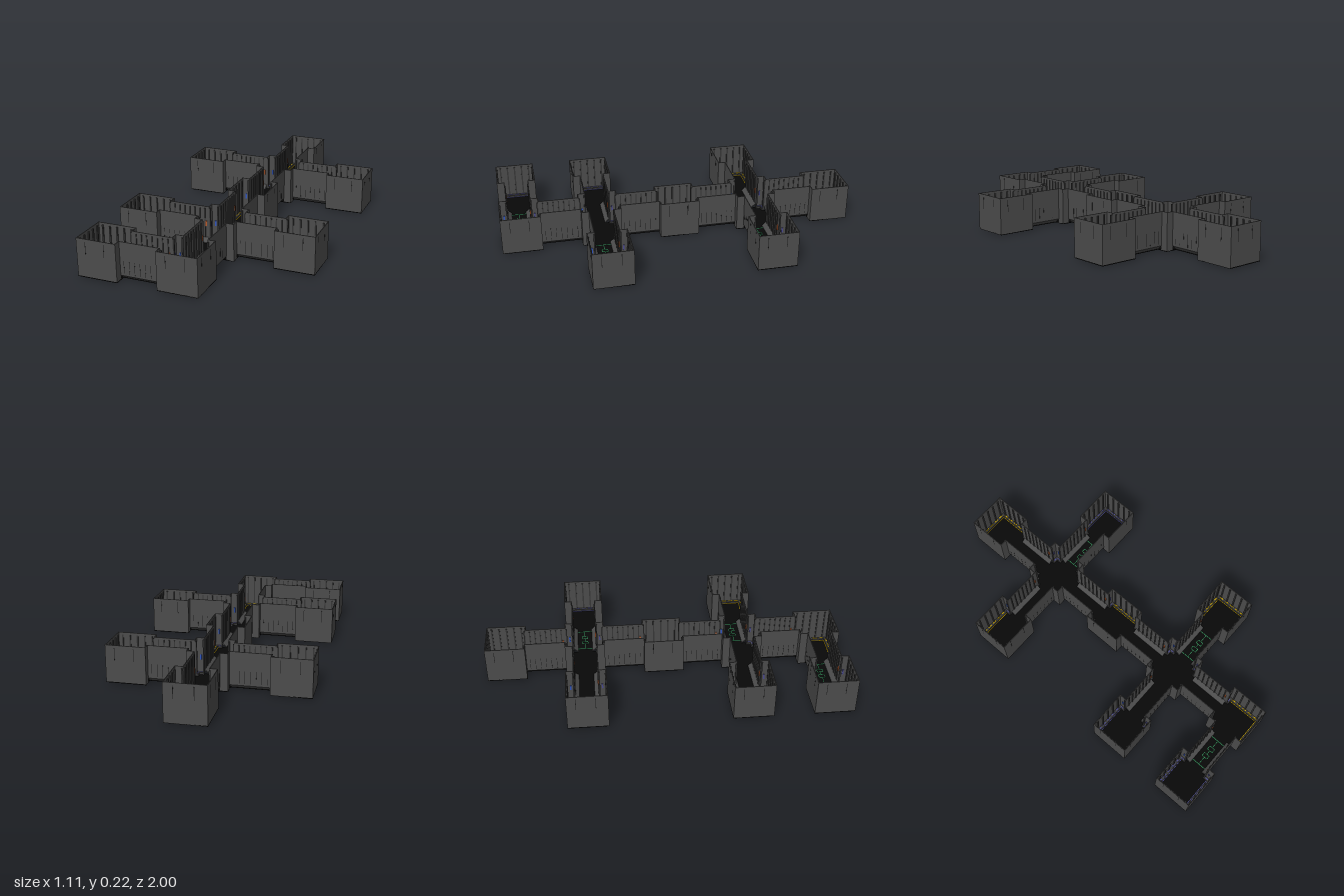
import * as THREE from 'three';

const PITCH = 0.444, HALF = 0.111, TOP = 0.215, THICK = 0.004, DOOR = 0.07;
const mat = (color) => new THREE.MeshStandardMaterial({ color });
const M = {
  wall: mat(0x4c4c4c), trim: mat(0x383838), dark: mat(0x1c1c1c), floor: mat(0x080808),
  green: mat(0x2f8a55), yellow: mat(0xc9a400), violet: mat(0x4a4a90),
  orange: mat(0xb5582a), blue: mat(0x2f55c0),
};

// Box given by its limits on each axis
function box(parent, name, material, x0, x1, y0, y1, z0, z1) {
  const mesh = new THREE.Mesh(new THREE.BoxGeometry(x1 - x0, y1 - y0, z1 - z0), material);
  mesh.position.set((x0 + x1) / 2, (y0 + y1) / 2, (z0 + z1) / 2);
  mesh.name = name;
  parent.add(mesh);
  return mesh;
}

function subgroup(parent, name, x, z, turn) {
  const g = new THREE.Group();
  g.name = name;
  g.position.set(x, 0, z);
  g.rotation.y = turn * Math.PI / 2;
  parent.add(g);
  return g;
}

// Closed wall on local +z, with skirting, ribs and a dashed floor strip
function closedWall(room, turn, accent) {
  const g = subgroup(room, 'closedWall', 0, 0, turn);
  const inner = HALF - THICK;
  box(g, 'wallPanel', M.wall, -HALF, HALF, 0.004, TOP, inner, HALF);
  box(g, 'skirting', M.trim, -inner, inner, 0.008, 0.02, HALF - 0.02, inner);
  for (let i = -2; i <= 2; i++) {
    box(g, 'wallRib', M.trim, i * 0.042 - 0.004, i * 0.042 + 0.004, 0.02, TOP - 0.012, inner - 0.006, inner);
    box(g, 'stripDash', accent, i * 0.038 - 0.012, i * 0.038 + 0.012, 0.02, 0.022, HALF - 0.013, HALF - 0.007);
  }
  box(g, 'stripLine', accent, -0.09, 0.09, 0.008, 0.01, HALF - 0.023, HALF - 0.02);
  for (const x of [-0.06, 0.045])
    box(g, 'outerSlot', M.dark, x - 0.0015, x + 0.0015, 0.13, 0.2, HALF - 0.001, HALF + 0.0004);
}

// Wall on local +z with a full-height doorway
function doorWall(room, turn, accent) {
  const g = subgroup(room, 'doorWall', 0, 0, turn);
  for (const s of [-1, 1]) {
    const span = (a, b) => (s < 0 ? [-b, -a] : [a, b]);
    box(g, 'doorSidePanel', M.wall, ...span(DOOR - 0.004, HALF), 0.004, TOP, HALF - THICK, HALF);
    box(g, 'doorSkirting', M.trim, ...span(DOOR - 0.004, HALF - THICK), 0.008, 0.02, HALF - 0.02, HALF - THICK);
    box(g, 'doorPost', M.trim, ...span(DOOR - 0.004, DOOR + 0.004), 0.008, TOP - 0.01, HALF - 0.012, HALF - THICK);
    box(g, 'doorLight', s < 0 ? accent : M.blue, ...span(0.082, 0.09), 0.09, 0.12, HALF - 0.008, HALF - THICK);
    box(g, 'doorStrip', accent, ...span(0.075, 0.095), 0.02, 0.022, HALF - 0.014, HALF - 0.009);
  }
}

function buildRoom(parent, [i, j], open, accent) {
  const g = subgroup(parent, 'room', i * PITCH, j * PITCH, 0);
  box(g, 'roomFloor', M.floor, -HALF, HALF, 0.003, 0.008, -HALF, HALF);
  for (let k = 0; k < 4; k++) (open[k] ? doorWall : closedWall)(g, k, open[k] ? M.violet : accent);
  // Low feet under the floor
  for (const x of [-0.06, 0, 0.06]) for (const z of [-0.06, 0.06]) {
    const foot = new THREE.Mesh(new THREE.CylinderGeometry(0.01, 0.01, 0.004, 12), M.floor);
    foot.position.set(x, 0.002, z);
    foot.name = 'floorFoot';
    g.add(foot);
  }
}

// Corridor side: upright wall on a sloped foot, swept along the corridor
const sideShape = new THREE.Shape([
  [0.042, 0.005], [0.07, 0.029], [0.07, TOP - 0.001], [0.066, TOP - 0.001], [0.066, 0.033], [0.042, 0.011],
].map(([x, y]) => new THREE.Vector2(x, y)));
const LENGTH = PITCH - 2 * HALF;
const sideGeometry = new THREE.ExtrudeGeometry(sideShape, { depth: LENGTH, bevelEnabled: false });
sideGeometry.translate(0, 0, -LENGTH / 2);

function buildCorridor(parent, x, z, turn, marked) {
  const g = subgroup(parent, 'corridor', x, z, turn);
  box(g, 'corridorFloor', M.floor, -0.045, 0.045, 0.004, 0.008, -LENGTH / 2, LENGTH / 2);
  for (const s of [0, 2]) {
    const side = subgroup(g, 'corridorSide', 0, 0, s);
    const wall = new THREE.Mesh(sideGeometry, M.wall);
    wall.name = 'corridorWall';
    side.add(wall);
    for (let i = -3; i <= 3; i++) {
      const c = i * 0.03;
      box(side, 'corridorRib', M.trim, 0.062, 0.066, 0.034, TOP - 0.012, c - 0.003, c + 0.003);
      box(side, 'corridorSlot', M.dark, 0.069, 0.0704, 0.04, 0.11, c - 0.001, c + 0.001);
    }
    box(side, 'corridorLight', M.orange, 0.061, 0.066, 0.1, 0.13, 0.095, 0.102);
  }
  if (!marked) return;
  // Floor marking: end bars, two squares and joining lines
  const line = (x0, x1, z0, z1) => box(g, 'floorMarking', M.green, x0, x1, 0.003, 0.0095, z0, z1);
  for (const s of [-1, 1]) {
    line(-0.045, 0.045, s * 0.085 - 0.002, s * 0.085 + 0.002);
    for (const e of [-0.011, 0.011]) {
      line(-0.017, 0.017, s * 0.024 + e - 0.0015, s * 0.024 + e + 0.0015);
      line(e * 1.5 - 0.0015, e * 1.5 + 0.0015, s * 0.024 - 0.011, s * 0.024 + 0.011);
    }
    const [a, b] = s < 0 ? [-0.085, -0.035] : [0.035, 0.085];
    line(-0.0015, 0.0015, a, b);
  }
  line(-0.0015, 0.0015, -0.013, 0.013);
}

export function createModel() {
  const model = new THREE.Group();
  model.name = 'modularCorridors';
  // Grid cells; the last entry picks the accent strip
  const rooms = [
    [0, -2, 'yellow'], [-1, -1, 'yellow'], [0, -1, 'violet'], [1, -1, 'violet'], [0, 0, 'yellow'],
    [-1, 1, 'violet'], [0, 1, 'violet'], [1, 1, 'yellow'], [-1, 2, 'violet'], [0, 2, 'yellow'],
  ];
  const has = (i, j) => rooms.some((r) => r[0] === i && r[1] === j);
  for (const [i, j, accent] of rooms) {
    const open = [has(i, j + 1) && i === 0, has(i + 1, j), has(i, j - 1) && i === 0, has(i - 1, j)];
    buildRoom(model, [i, j], open, M[accent]);
    if (open[0]) buildCorridor(model, i * PITCH, (j + 0.5) * PITCH, 0, false);
    if (open[1]) buildCorridor(model, (i + 0.5) * PITCH, j * PITCH, 1, i === 0 || j === 2);
  }
  return model;
}
